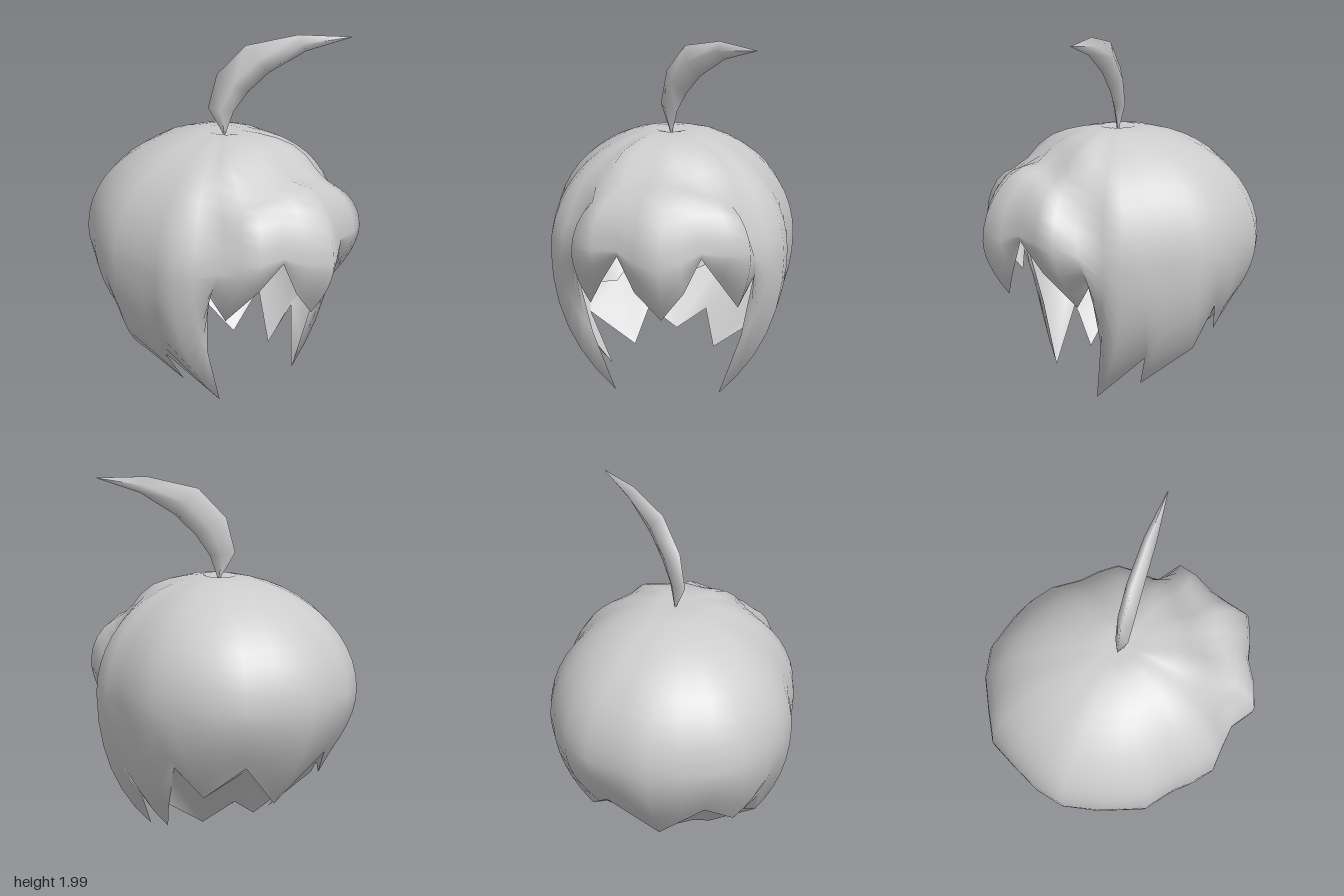
import * as THREE from 'three';

const hairMaterial = new THREE.MeshStandardMaterial({ color: 0xcccccc, side: THREE.DoubleSide });
hairMaterial.name = 'hair grey';

// Surface through columns of points; optional shared apex, optionally closed around.
function skin(columns, { apex = null, closed = false } = {}) {
  const rows = columns[0].length, n = columns.length;
  const pos = columns.flat(2), index = [];
  if (apex) pos.push(...apex);
  for (let c = 0; c < (closed ? n : n - 1); c++) {
    const a = c * rows, b = ((c + 1) % n) * rows;
    if (apex) index.push(n * rows, a, b);
    for (let r = 0; r < rows - 1; r++) {
      index.push(a + r, a + r + 1, b + r + 1, a + r, b + r + 1, b + r);
    }
  }
  const g = new THREE.BufferGeometry();
  g.setAttribute('position', new THREE.Float32BufferAttribute(pos, 3));
  g.setIndex(index);
  g.computeVertexNormals();
  return g;
}

function named(name, geometry) {
  const m = new THREE.Mesh(geometry, hairMaterial);
  m.name = name;
  return m;
}

// Shallow valley that parts the fringe from the cap
function fringeValley([x, y, z]) {
  const high = THREE.MathUtils.smoothstep(y, 0.84, 1.12);
  const s = 1 - 0.13 * high * Math.exp(-(((z - 0.46) / 0.1) ** 2));
  return [x * s, 0.82 + (y - 0.82) * s, z];
}

// One strand column: elliptical arc from the crown to the widest point, then a curve into the hem.
function strand([ex, ey, ez, hx, hy, hz, bulge]) {
  const out = [], upper = 12, lower = 6;
  for (let i = 1; i <= upper; i++) {
    const a = (i / upper) * Math.PI / 2;
    out.push(fringeValley([ex * Math.sin(a), ey + (1.47 - ey) * Math.cos(a), ez * Math.sin(a)]));
  }
  const curve = new THREE.QuadraticBezierCurve3(
    new THREE.Vector3(ex, ey, ez),
    new THREE.Vector3(ex, ey + (hy - ey) * bulge, ez),
    new THREE.Vector3(hx, hy, hz));
  for (let i = 1; i <= lower; i++) out.push(curve.getPoint(i / lower).toArray());
  return out;
}

// Widest point (x, y, z), hem point (x, y, z) and bulge, from front middle around the left side to the back
const hem = [
  [0.02, 0.90, 0.81, 0.01, 0.58, 0.66, 0.4],     // middle fringe tip
  [0.12, 0.92, 0.745, 0.13, 0.74, 0.68, 0.4],
  [0.22, 0.96, 0.68, 0.22, 0.93, 0.67, 0.5],     // fringe notch
  [0.36, 0.95, 0.645, 0.31, 0.77, 0.58, 0.4],
  [0.475, 0.95, 0.59, 0.40, 0.58, 0.42, 0.4],    // outer fringe tip
  [0.49, 0.88, 0.45, 0.48, 0.74, 0.37, 0.5],     // notch before the side lock
  [0.57, 0.85, 0.35, 0.41, 0.36, 0.29, 0.55],
  [0.64, 0.83, 0.27, 0.29, 0.01, 0.26, 0.6],     // long side lock
  [0.655, 0.83, 0.15, 0.50, 0.29, 0.05, 0.6],
  [0.65, 0.83, 0.02, 0.34, 0.07, 0.02, 0.6],     // second side lock
  [0.68, 0.83, -0.16, 0.50, 0.29, -0.22, 0.6],
  [0.65, 0.85, -0.30, 0.54, 0.53, -0.33, 0.5],   // slit before the back tips
  [0.60, 0.86, -0.42, 0.40, 0.35, -0.40, 0.5],   // side back tip
  [0.49, 0.86, -0.61, 0.335, 0.445, -0.50, 0.45],
  [0.35, 0.86, -0.70, 0.27, 0.54, -0.60, 0.4],   // back notch
  [0.17, 0.86, -0.76, 0.135, 0.405, -0.55, 0.4],
  [0.00, 0.86, -0.81, 0.00, 0.27, -0.50, 0.4],   // middle back tip
];

// Nape layer: start on the shell hem, inner fold, and lower hem
const nape = [
  [[0.54, 0.53, -0.33], [0.53, 0.45, -0.29], [0.50, 0.29, -0.22]],
  [[0.40, 0.35, -0.40], [0.37, 0.42, -0.42], [0.23, 0.12, -0.16]],
  [[0.27, 0.54, -0.60], [0.25, 0.52, -0.58], [0.17, 0.28, -0.37]],
  [[0.00, 0.27, -0.50], [0.00, 0.43, -0.52], [0.00, 0.17, -0.32]],
];

// Cowlick: outer and inner edge (distance forward, height) and half width
const cowlick = [
  [0.00, 1.43, 0.00, 1.43, 0.003],
  [-0.065, 1.59, 0.035, 1.57, 0.035],
  [-0.03, 1.78, 0.09, 1.68, 0.045],
  [0.08, 1.94, 0.17, 1.79, 0.045],
  [0.28, 2.00, 0.31, 1.91, 0.035],
  [0.485, 1.99, 0.485, 1.988, 0.002],
];

export function createModel() {
  const group = new THREE.Group();
  group.name = 'hair';

  // Main shell, mirrored to the right side
  const mirrored = hem.slice(1, -1).reverse()
    .map(([ex, ey, ez, hx, hy, hz, bulge]) => [-ex, ey, ez, -hx, hy, hz, bulge]);
  const columns = [...hem, ...mirrored].map(strand);
  group.add(named('hairShell', skin(columns, { apex: [0, 1.44, 0], closed: true })));

  // Nape layer folded in under the back tips
  const napeMirror = nape.slice(0, -1).reverse().map(col => col.map(([x, y, z]) => [-x, y, z]));
  group.add(named('napeLayer', skin([...nape, ...napeMirror])));

  // Cowlick curving diagonally towards the front left
  const rings = cowlick.map(([ox, oy, ix, iy, w]) => {
    const mx = (ox + ix) / 2, my = (oy + iy) / 2, s = w * Math.SQRT1_2;
    return [[ox, oy, ox], [mx + s, my, mx - s], [ix, iy, ix], [mx - s, my, mx + s]];
  });
  const sides = [3, 2, 1, 0].map(k => rings.map(r => r[k]).reverse());
  group.add(named('cowlick', skin(sides, { closed: true })));

  return group;
}
